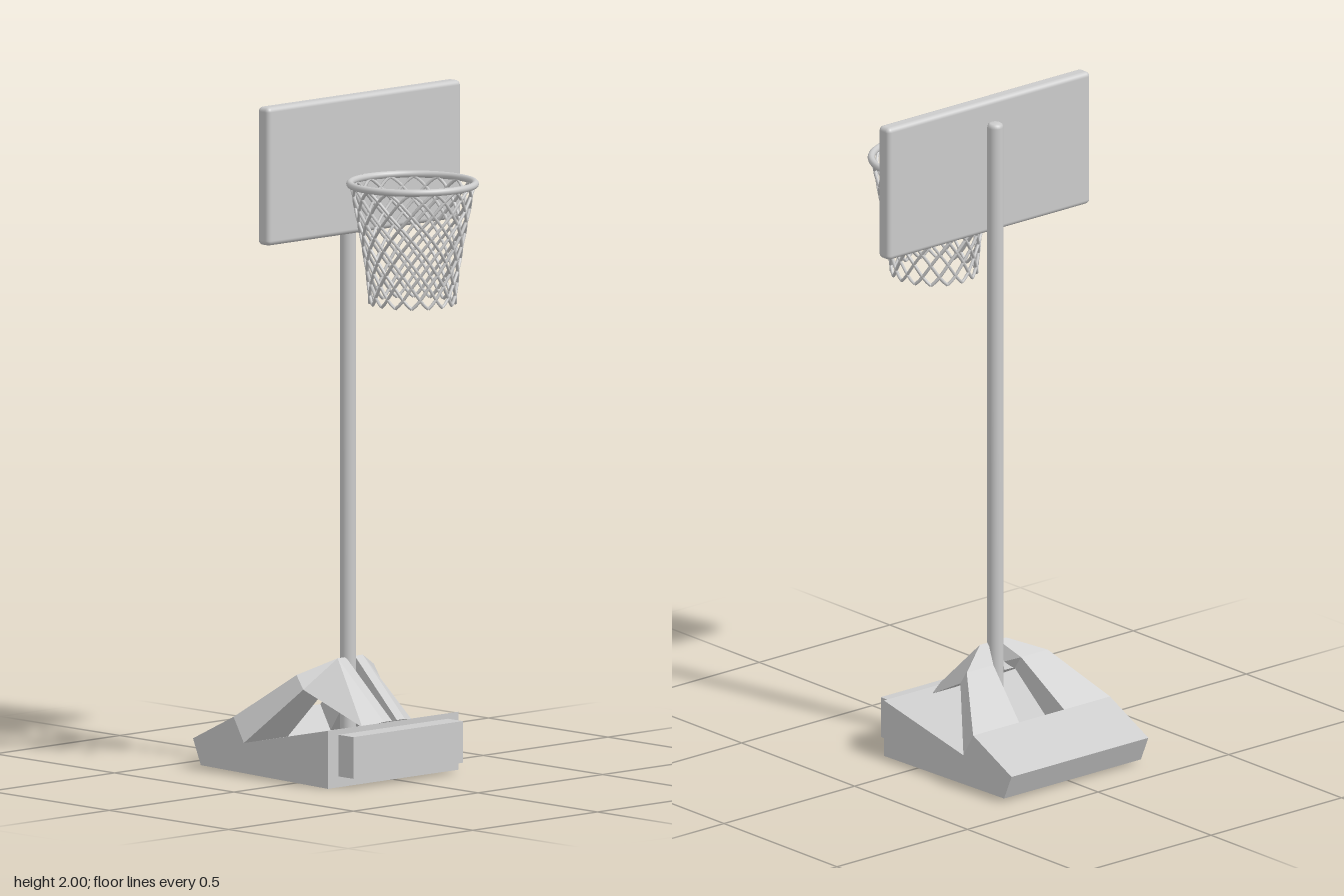
import * as THREE from 'three';
import { RoundedBoxGeometry } from 'three/addons/geometries/RoundedBoxGeometry.js';

const smooth = new THREE.MeshStandardMaterial({ color: 0xcccccc });
const flat = new THREE.MeshStandardMaterial({ color: 0xcccccc, flatShading: true });

function add(parent, name, geometry, material, x = 0, y = 0, z = 0) {
  const mesh = new THREE.Mesh(geometry, material);
  mesh.name = name;
  mesh.position.set(x, y, z);
  parent.add(mesh);
  return mesh;
}

// Solid through a row of four-cornered sections; side = -1 mirrors it in x
function loftSections(sections, side) {
  const points = sections.flat().map(([x, y, z]) => new THREE.Vector3(x * side, y, z));
  const faces = [];
  const quad = (a, b, c, d) => faces.push([a, b, c], [a, c, d]);
  const last = (sections.length - 1) * 4;
  quad(3, 2, 1, 0);
  quad(last, last + 1, last + 2, last + 3);
  for (let s = 0; s < last; s += 4) {
    for (let i = 0; i < 4; i++) {
      const j = (i + 1) % 4;
      quad(s + i, s + j, s + 4 + j, s + 4 + i);
    }
  }
  // Turn the faces outward whichever way the sections run
  const cross = new THREE.Vector3();
  let volume = 0;
  for (const [a, b, c] of faces) volume += points[a].dot(cross.crossVectors(points[b], points[c]));
  const corners = faces.flatMap(([a, b, c]) => (volume < 0 ? [a, c, b] : [a, b, c]));
  const geometry = new THREE.BufferGeometry().setFromPoints(corners.map((i) => points[i]));
  geometry.computeVertexNormals();
  return geometry;
}

function buildBase() {
  const base = new THREE.Group();
  base.name = 'base';

  // Wedge-shaped ballast tank, drawn in side profile (z, y)
  const outline = [[0.145, 0.005], [0.145, 0.175], [-0.207, 0.1], [-0.25, 0.172], [-0.42, 0.09], [-0.387, 0.015]];
  const profile = new THREE.Shape(outline.map(([z, y]) => new THREE.Vector2(-z, y)));
  const tank = new THREE.ExtrudeGeometry(profile, { depth: 0.524, bevelEnabled: false });
  tank.translate(0, 0, -0.262);
  tank.rotateY(Math.PI / 2);
  add(base, 'ballastTank', tank, flat);

  // Raised box on the front
  add(base, 'frontBox', new THREE.BoxGeometry(0.44, 0.122, 0.065), flat, 0, 0.098, 0.175);

  for (const side of [1, -1]) {
    // Folded rear brace beside the central opening
    const rear = [
      [[0.262, 0.172, -0.25], [0.086, 0.172, -0.25], [0.086, 0.1, -0.207], [0.262, 0.1, -0.207]],
      [[0.155, 0.3, -0.098], [0.053, 0.3, -0.098], [0.053, 0.26, -0.07], [0.155, 0.26, -0.07]],
      [[0.05, 0.345, -0.035], [0.018, 0.345, -0.035], [0.018, 0.28, -0.05], [0.12, 0.27, -0.06]],
    ];
    add(base, 'rearBrace', loftSections(rear, side), flat);

    // Front strut from the ridge down to the tank
    const front = [
      [[0.018, 0.345, -0.035], [0.05, 0.345, -0.035], [0.155, 0.26, -0.07], [0.018, 0.26, -0.065]],
      [[0.01, 0.178, 0.15], [0.042, 0.178, 0.15], [0.1, 0.165, 0.12], [0.01, 0.165, 0.12]],
    ];
    add(base, 'frontStrut', loftSections(front, side), flat);
  }
  return base;
}

function buildNet() {
  const net = new THREE.Group();
  net.name = 'net';
  const strands = 16;
  const rows = 5;
  const steps = 30;
  // Flared outline: radius against height, top to bottom
  const flare = new THREE.SplineCurve(
    [[0.178, 1.755], [0.162, 1.67], [0.145, 1.58], [0.131, 1.49], [0.124, 1.41]].map((p) => new THREE.Vector2(...p))
  );
  for (const turn of [1, -1]) {
    const path = [];
    for (let i = 0; i <= steps; i++) {
      const t = i / steps;
      const p = flare.getPoint(t);
      const angle = (turn * t * rows * Math.PI * 2) / strands;
      path.push(new THREE.Vector3(p.x * Math.sin(angle), p.y, p.x * Math.cos(angle)));
    }
    const cord = new THREE.TubeGeometry(new THREE.CatmullRomCurve3(path), steps, 0.0048, 6);
    for (let i = 0; i < strands; i++) {
      add(net, 'netCord', cord, smooth).rotation.y = (i / strands) * Math.PI * 2;
    }
  }
  return net;
}

export function createModel() {
  const model = new THREE.Group();
  model.name = 'basketballHoop';
  model.add(buildBase());

  // Pole with a softened top edge
  const pole = [[0, 0.11], [0.0235, 0.11], [0.0235, 1.925], [0.021, 1.934], [0.015, 1.938], [0, 1.938]];
  add(model, 'pole', new THREE.LatheGeometry(pole.map((p) => new THREE.Vector2(...p)), 28), smooth, 0, 0, -0.045);

  // Backboard
  add(model, 'backboard', new RoundedBoxGeometry(0.776, 0.405, 0.048, 4, 0.014), smooth, 0, 1.7975, 0.003);

  // Rim, its bracket and the net
  const hoop = new THREE.Group();
  hoop.name = 'hoop';
  hoop.position.z = 0.226;
  const rim = new THREE.TorusGeometry(0.182, 0.0105, 12, 64);
  rim.rotateX(Math.PI / 2);
  add(hoop, 'rim', rim, smooth, 0, 1.76, 0);
  add(hoop, 'rimBracket', new THREE.BoxGeometry(0.025, 0.014, 0.03), flat, 0, 1.76, -0.195);
  hoop.add(buildNet());
  model.add(hoop);
  return model;
}
